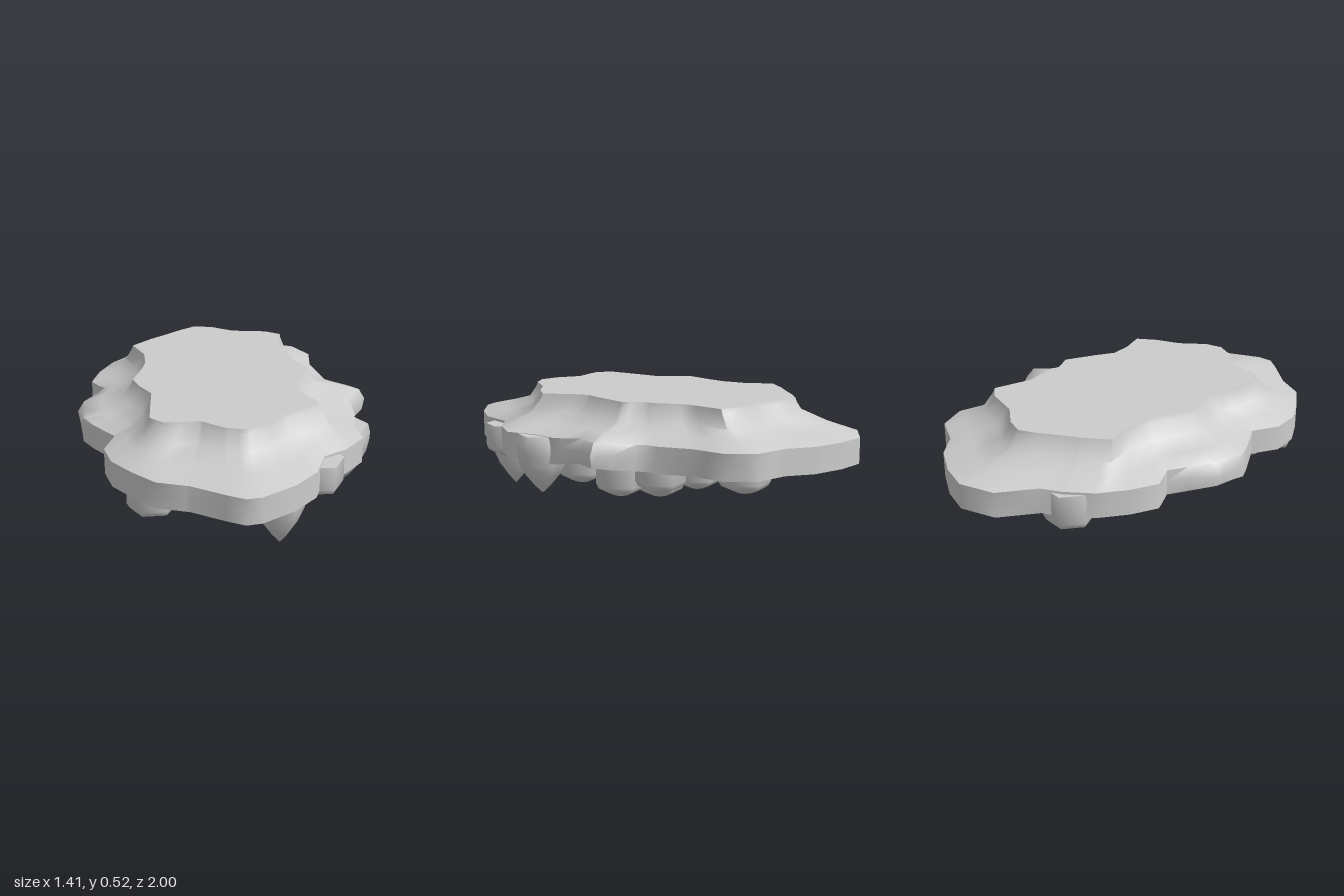
import * as THREE from 'three';
import { toCreasedNormals } from 'three/addons/utils/BufferGeometryUtils.js';

// Outlines as x, z pairs, seen from above
const OUTER = [
  -0.09, -1, 0.05, -0.97, 0.2, -0.9, 0.3, -0.8, 0.45, -0.74, 0.52, -0.61, 0.5, -0.46, 0.54, -0.24,
  0.65, -0.13, 0.705, -0.06, 0.62, 0.06, 0.6, 0.2, 0.57, 0.33, 0.58, 0.47, 0.48, 0.58, 0.37, 0.64,
  0.31, 0.79, 0.2, 0.9, 0.05, 0.99, -0.02, 1, -0.09, 0.96, -0.24, 0.86, -0.38, 0.81, -0.48, 0.7,
  -0.56, 0.59, -0.59, 0.46, -0.54, 0.33, -0.69, 0.13, -0.71, -0.05, -0.58, -0.24, -0.64, -0.34,
  -0.6, -0.47, -0.53, -0.6, -0.43, -0.7, -0.34, -0.76, -0.25, -0.93,
];
const INNER = [
  -0.09, -0.69, 0, -0.67, 0.11, -0.6, 0.28, -0.57, 0.35, -0.52, 0.32, -0.33, 0.36, -0.2, 0.36, -0.13,
  0.41, -0.05, 0.36, 0.1, 0.32, 0.2, 0.34, 0.3, 0.39, 0.41, 0.31, 0.48, 0.2, 0.54, 0.1, 0.64,
  0.02, 0.67, -0.07, 0.64, -0.17, 0.56, -0.33, 0.56, -0.39, 0.5, -0.38, 0.35, -0.37, 0.22,
  -0.42, 0.13, -0.45, 0.04, -0.4, -0.1, -0.38, -0.18, -0.38, -0.3, -0.43, -0.43, -0.33, -0.52,
  -0.26, -0.57, -0.17, -0.64,
];

const TAU = Math.PI * 2;
const toPairs = (flat) => Array.from({ length: flat.length / 2 }, (_, i) => [flat[2 * i], flat[2 * i + 1]]);
const angleOf = ([x, z]) => (Math.atan2(z, x) + TAU) % TAU;

// Distance from the centre to an outline along a direction
function radiusAt(pairs, angle) {
  const c = Math.cos(angle), s = Math.sin(angle);
  let best = 0;
  pairs.forEach(([x0, z0], i) => {
    const [x1, z1] = pairs[(i + 1) % pairs.length];
    const d0 = c * z0 - s * x0, d1 = c * z1 - s * x1;
    if (d0 * d1 > 1e-9 || Math.abs(d0 - d1) < 1e-9) return;
    const t = THREE.MathUtils.clamp(d0 / (d0 - d1), 0, 1);
    best = Math.max(best, c * (x0 + t * (x1 - x0)) + s * (z0 + t * (z1 - z0)));
  });
  return best;
}

// Slab: rings from the flat top, over the shoulder and rim, to the underside
function slabGeometry() {
  const outer = toPairs(OUTER), inner = toPairs(INNER);
  const angles = [...outer, ...inner].map(angleOf).sort((a, b) => a - b)
    .filter((a, i, all) => i === 0 || a - all[i - 1] > 0.012);
  const n = angles.length, rings = 9;
  const positions = [], index = [];
  const rays = angles.map((a) => {
    const ri = radiusAt(inner, a), ro = radiusAt(outer, a);
    const z = ro * Math.sin(a);
    // The rim lifts and rounds off at the two side bulges
    const lift = Math.max(0, 1 - Math.abs(z + 0.03) / 0.24);
    const foot = ri + Math.min(0.045, (ro - ri) * 0.3);
    return {
      a,
      profile: [
        [0, 0.518], [ri - 0.008, 0.518], [ri, 0.498], [foot, 0.435],
        [(foot + ro) / 2, 0.397 + 0.015 * lift],
        [ro - 0.035 * lift, 0.362 + 0.02 * lift], [ro, 0.31 + 0.02 * lift],
        [ro - 0.012 * lift, 0.24 + 0.035 * lift], [0, 0.24],
      ],
    };
  });
  for (let i = 0; i < rings; i++) {
    for (const { a, profile } of rays) {
      const [r, y] = profile[i];
      positions.push(r * Math.cos(a), y, r * Math.sin(a));
    }
  }
  for (let i = 0; i < rings - 1; i++) {
    for (let j = 0; j < n; j++) {
      const k = (j + 1) % n;
      const a = i * n + j, b = i * n + k, c = a + n, d = b + n;
      if (i < rings - 2) index.push(a, d, c);
      if (i > 0) index.push(a, b, d);
    }
  }
  const geometry = new THREE.BufferGeometry();
  geometry.setAttribute('position', new THREE.Float32BufferAttribute(positions, 3));
  geometry.setIndex(index);
  return toCreasedNormals(geometry, 0.9);
}

// Six-sided turned shape with corners towards +x and -x, softly shaded
function hexLathe(profile) {
  const points = profile.map(([r, y]) => new THREE.Vector2(r, y));
  const geometry = new THREE.LatheGeometry(points, 6, Math.PI / 2);
  return toCreasedNormals(geometry, 1.1);
}

export function createModel() {
  const model = new THREE.Group();
  const stone = new THREE.MeshStandardMaterial({ color: 0xcccccc });
  stone.name = 'grey stone';

  const add = (name, geometry, x = 0, z = 0) => {
    const mesh = new THREE.Mesh(geometry, stone);
    mesh.name = name;
    mesh.position.set(x, 0, z);
    model.add(mesh);
  };

  add('slab', slabGeometry());

  // Hexagonal columns on a honeycomb, longest in the middle, a few broken short
  const R = 0.116, stepX = 0.1825, stepZ = 0.21;
  const special = {
    '2,-2': 0.225, '1,-2': 0.225, '0,3': 0.185, '-1,2': 0.19,
    '-2,0': 0.21, '-2,-1': 0.21, '-2,3': 0.115, '2,3': 0.18,
  };
  for (let i = -2; i <= 2; i++) {
    for (let j = -3; j <= 3; j++) {
      const x = -0.02 + i * stepX;
      const z = (j + (i % 2 ? 0.5 : 0)) * stepZ;
      if (Math.abs(z) > 0.68) continue;
      const q = (x / 0.55) ** 2 + (z / 0.62) ** 2;
      const wobble = 0.015 * Math.sin(i * 2.3 + j * 4.1) * Math.min(1, q * 3);
      const tip = special[`${i},${j}`] ?? Math.min(0.15, 0.018 + 0.145 * q + wobble);
      // Stubs that barely break the surface are flat
      const cap = tip > 0.205 ? 0.01 : 0.05;
      add('column', hexLathe([
        [0, tip], [R * 0.45, tip + 0.3 * cap], [R * 0.9, tip + 0.75 * cap],
        [R, tip + 1.2 * cap], [R, 0.35], [0, 0.35],
      ]), x, z);
    }
  }

  // Two pointed hanging spikes
  const spike = (x, z, tip, top) => {
    const h = top - tip;
    add('spike', hexLathe([
      [0, tip], [0.036, tip + 0.12 * h], [0.08, tip + 0.31 * h], [0.107, tip + 0.5 * h],
      [0.119, tip + 0.7 * h], [0.121, tip + 0.85 * h], [0.11, top], [0, top],
    ]), x, z);
  };
  spike(0.163, 0.735, 0, 0.33);
  spike(0.528, 0.315, 0.08, 0.36);

  return model;
}
